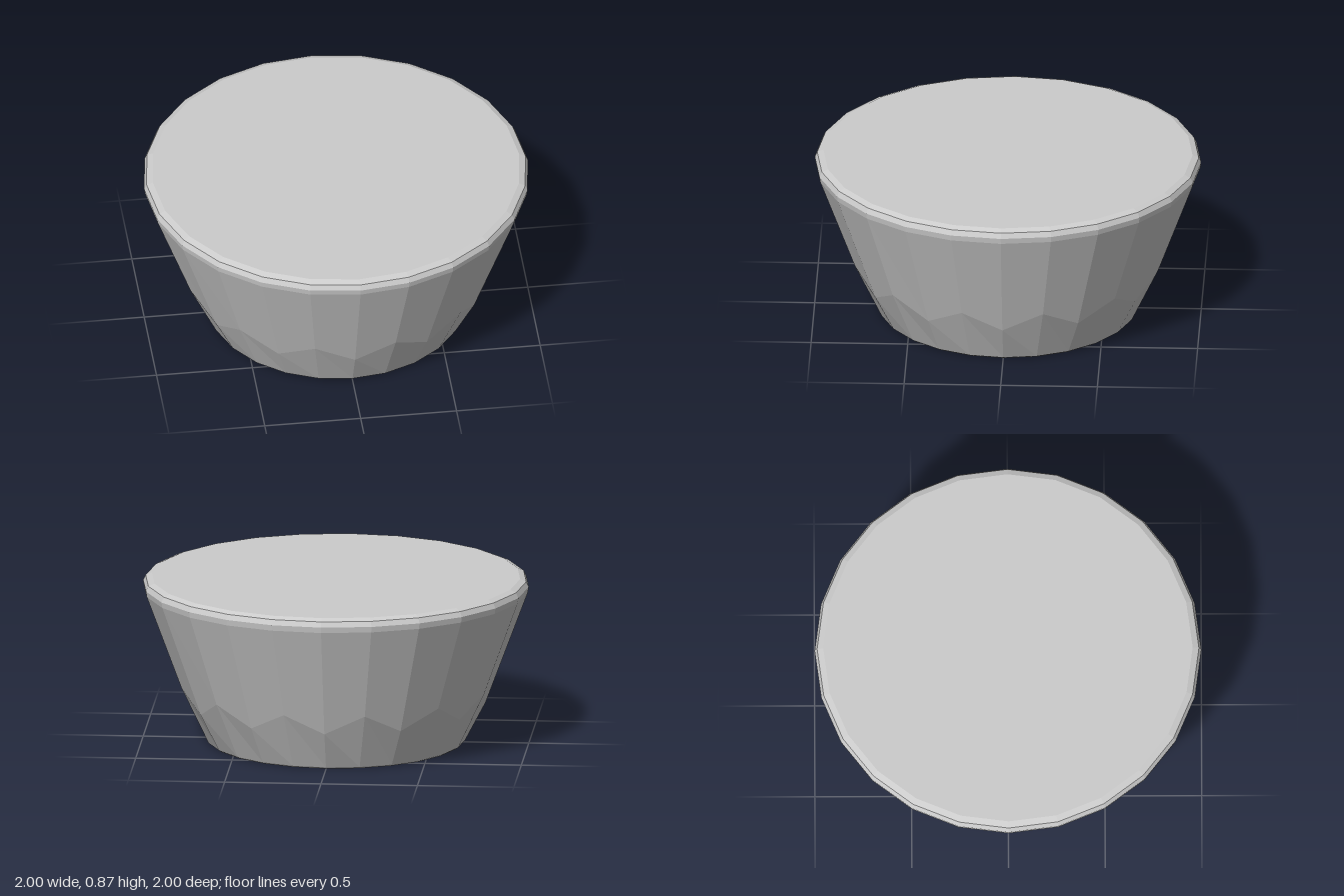
import * as THREE from 'three';

const SIDES = 24;

export function createModel() {
  const group = new THREE.Group();
  group.name = 'taperedBowl';

  // Closed profile: flat base, flared wall, rounded rim, flat top
  const profile = [
    [0, 0], [0.655, 0], [0.67, 0.01],
    [0.79, 0.25],
    [0.995, 0.8], [1, 0.83], [0.987, 0.857], [0.955, 0.87], [0, 0.87],
  ].map(([r, y]) => new THREE.Vector2(r, y));
  const WAIST = 3;

  const body = new THREE.LatheGeometry(profile, SIDES);

  // Zigzag the waist ring so the lower facets look hand cut
  const pos = body.attributes.position;
  for (let i = 0; i <= SIDES; i++) {
    const v = i * profile.length + WAIST;
    const high = i % 2 === 1;
    const r = high ? 0.813 : 0.775;
    const a = (i / SIDES) * Math.PI * 2;
    pos.setXYZ(v, r * Math.sin(a), high ? 0.31 : 0.21, r * Math.cos(a));
  }
  body.computeVertexNormals();

  const material = new THREE.MeshStandardMaterial({ color: 0xcccccc, flatShading: true });
  const mesh = new THREE.Mesh(body, material);
  mesh.name = 'bowlBody';
  group.add(mesh);
  return group;
}
